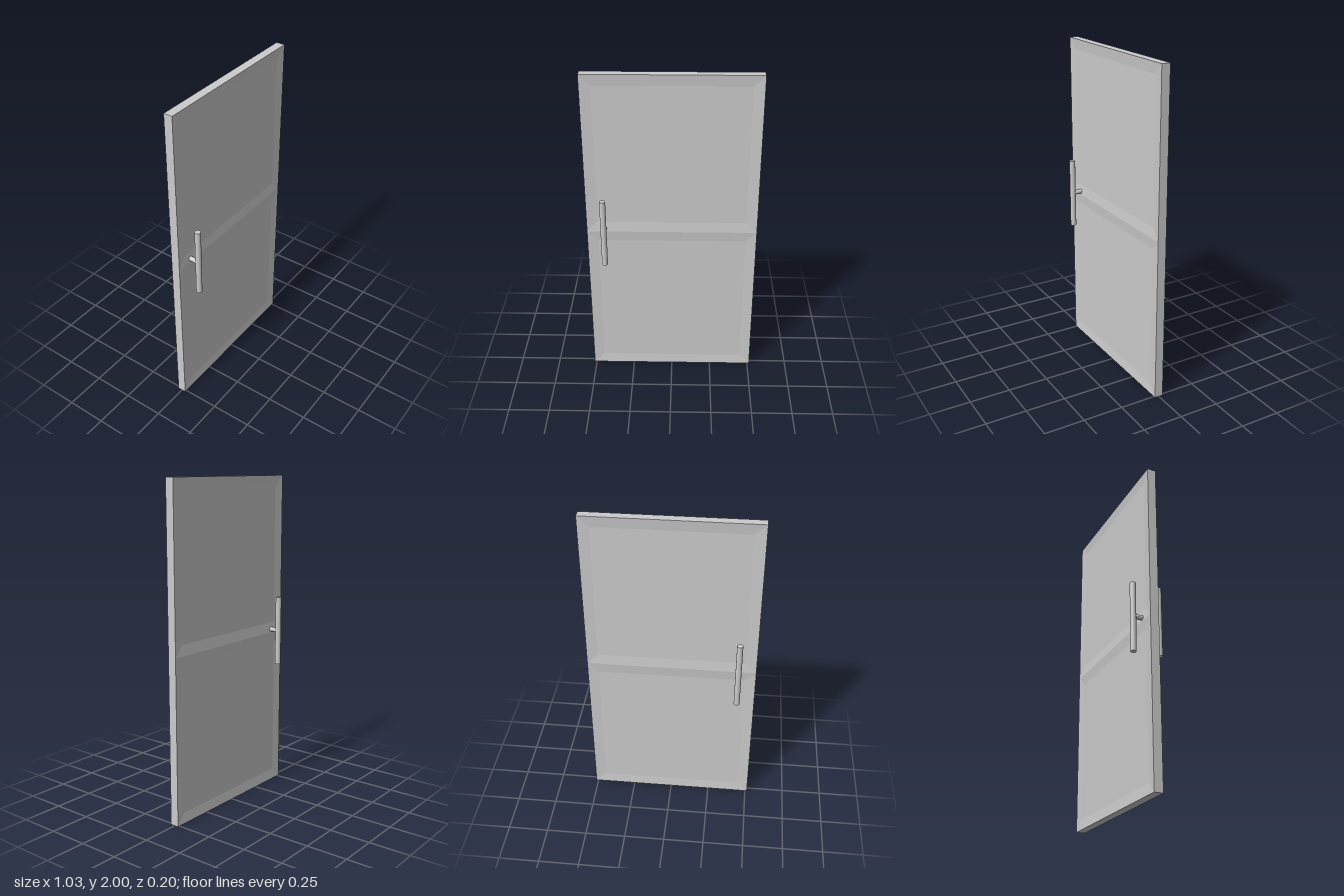
import * as THREE from 'three';

const W = 1.026, H = 2, D = 0.053;      // door slab
const MID = 1.01;                        // height of the ridge between panels
const BEVEL = 0.065, DEPTH = 0.006;      // shallow sunk panels

// Four corners of a rectangle, counter-clockwise seen from +z
const rect = (x, y0, y1, z) => [[-x, y0, z], [x, y0, z], [x, y1, z], [-x, y1, z]];

// Flat-faced geometry from counter-clockwise quads
function quadGeometry(quads) {
  const pos = quads.flatMap(([a, b, c, d]) => [a, b, c, a, c, d].flat());
  const g = new THREE.BufferGeometry();
  g.setAttribute('position', new THREE.Float32BufferAttribute(pos, 3));
  g.computeVertexNormals();
  return g;
}

// Quads joining one rectangle to the next, facing outward from the ring
const ring = (a, b) => a.map((p, i) => [p, a[(i + 1) % 4], b[(i + 1) % 4], b[i]]);

// Sunk panel with sloping, mitred borders
function panelQuads(y0, y1) {
  const outer = rect(W / 2, y0, y1, D / 2);
  const inner = rect(W / 2 - BEVEL, y0 + BEVEL, y1 - BEVEL, D / 2 - DEPTH);
  return [...ring(outer, inner), inner];
}

export function createModel() {
  const model = new THREE.Group();
  model.name = 'door';
  const mat = new THREE.MeshStandardMaterial({ color: 0xcccccc });
  const add = (name, geometry, parent = model) => {
    const mesh = new THREE.Mesh(geometry, mat);
    mesh.name = name;
    parent.add(mesh);
    return mesh;
  };

  // Narrow edges of the slab
  add('doorEdges', quadGeometry(ring(rect(W / 2, 0, H, -D / 2), rect(W / 2, 0, H, D / 2))));

  // Both faces, each with an upper and a lower panel, and a pull bar
  const face = quadGeometry([...panelQuads(0, MID), ...panelQuads(MID, H)]);
  const bar = new THREE.CylinderGeometry(0.018, 0.018, 0.434, 16);
  for (const [side, s] of [['front', 1], ['back', -1]]) {
    add(side + 'Panels', face).rotation.y = s > 0 ? 0 : Math.PI;
    add(side + 'HandleBar', bar).position.set(-0.407, 1.028, s * 0.082);
  }

  // Spindle through the slab joining the two bars
  const spindle = add('handleSpindle', new THREE.CylinderGeometry(0.0145, 0.0145, 0.164, 16));
  spindle.rotation.x = Math.PI / 2;
  spindle.position.set(-0.407, 1.031, 0);

  return model;
}
